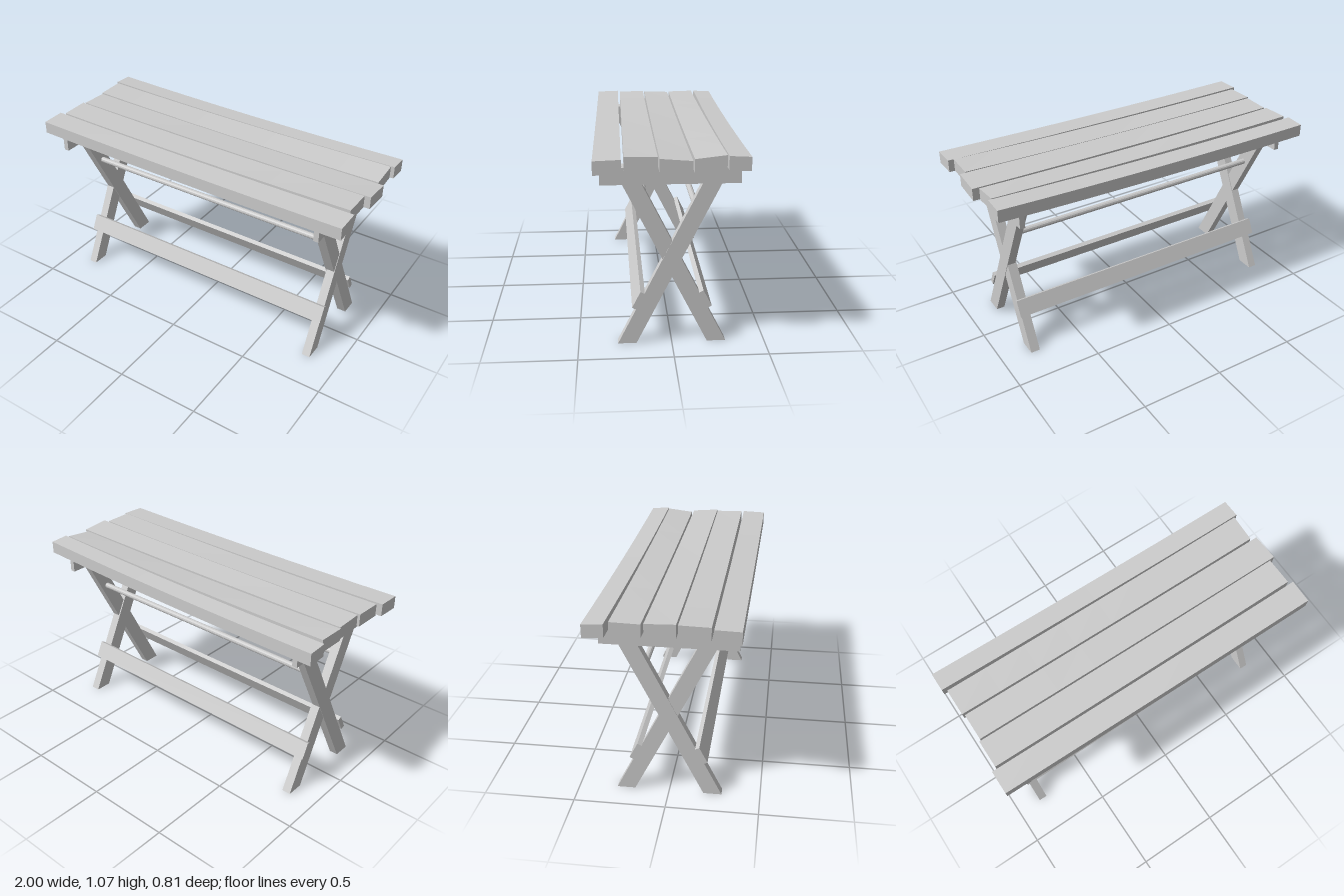
import * as THREE from 'three';

const material = new THREE.MeshStandardMaterial({ color: 0xcccccc, flatShading: true, side: THREE.DoubleSide });
const { lerp } = THREE.MathUtils;

function add(group, name, geometry) {
  const mesh = new THREE.Mesh(geometry, material);
  mesh.name = name;
  group.add(mesh);
  return mesh;
}

function box(group, name, x0, x1, y0, y1, z0, z1) {
  const mesh = add(group, name, new THREE.BoxGeometry(x1 - x0, y1 - y0, z1 - z0));
  mesh.position.set((x0 + x1) / 2, (y0 + y1) / 2, (z0 + z1) / 2);
  return mesh;
}

// Warped board: each end gives [x, back z, front z, back top y, front top y]
function plankGeometry(left, right, sag) {
  const thickness = 0.072;
  const geometry = new THREE.BoxGeometry(1, 1, 1, 8, 1, 1);
  const p = geometry.attributes.position;
  for (let i = 0; i < p.count; i++) {
    const t = p.getX(i) + 0.5;
    const s = p.getZ(i) + 0.5;
    const at = (k) => lerp(left[k], right[k], t);
    const top = lerp(at(3), at(4), s) - sag * 4 * t * (1 - t);
    p.setXYZ(i, at(0), p.getY(i) > 0 ? top : top - thickness, lerp(at(1), at(2), s));
  }
  geometry.computeVertexNormals();
  return geometry;
}

// Slanted leg cut level at floor and top, extruded between x0 and x1
function legGeometry(x0, x1, dir) {
  const height = 0.985, lean = 0.503 * height;
  const shape = new THREE.Shape([
    [0.29, 0], [0.19, 0], [0.19 - lean, height], [0.29 - lean, height],
  ].map(([z, y]) => new THREE.Vector2(z * dir, y)));
  const geometry = new THREE.ExtrudeGeometry(shape, { depth: x1 - x0, bevelEnabled: false });
  return geometry.rotateY(-Math.PI / 2).translate(x1, 0, 0);
}

export function createModel() {
  const model = new THREE.Group();
  model.name = 'slattedTable';

  // Irregular top slats, back to front
  const slats = [
    [[-0.995, -0.405, -0.293, 1.05, 1.056], [0.985, -0.377, -0.266, 1.062, 1.068], 0.012],
    [[-0.972, -0.272, -0.112, 1.06, 1.056], [0.965, -0.26, -0.1, 1.068, 1.05], 0.01],
    [[-0.962, -0.1, 0.062, 1.055, 1.06], [1.0, -0.088, 0.076, 1.05, 1.063], 0.006],
    [[-0.972, 0.072, 0.236, 1.062, 1.058], [0.967, 0.082, 0.248, 1.064, 1.067], 0.01],
    [[-1.0, 0.25, 0.387, 1.06, 1.056], [0.995, 0.262, 0.402, 1.06, 1.055], 0.008],
  ];
  const top = new THREE.Group();
  top.name = 'top';
  slats.forEach(([l, r, sag], i) => add(top, `slat${i + 1}`, plankGeometry(l, r, sag)));
  model.add(top);

  // Crossed legs and the cleats carrying the slats
  const ends = [
    { side: 'right', outer: [-0.85, -0.8], inner: [-0.827, -0.795], cleat: [-0.88, -0.85] },
    { side: 'left', outer: [0.78, 0.83], inner: [0.772, 0.805], cleat: [0.83, 0.86] },
  ];
  for (const { side, outer, inner, cleat } of ends) {
    const frame = new THREE.Group();
    frame.name = `${side}EndFrame`;
    add(frame, 'frontFootLeg', legGeometry(...outer, 1));
    add(frame, 'backFootLeg', legGeometry(side === 'left' ? inner[0] : outer[0] + 0.003,
      side === 'left' ? outer[1] - 0.003 : inner[1], -1));
    box(frame, 'cleat', ...cleat, 0.895, 0.985, -0.35, 0.37);
    model.add(frame);
  }

  // Stretcher boards on the legs and round rods between them
  for (const dir of [1, -1]) {
    const name = dir > 0 ? 'front' : 'back';
    const board = box(model, `${name}Stretcher`, -0.865, 0.84, 0.2, 0.3, -0.0135, 0.0135);
    board.position.z = 0.178 * dir;
    board.rotation.x = -dir * Math.atan(0.503);

    const rod = add(model, `${name}Rod`, new THREE.CylinderGeometry(0.017, 0.017, 1.6, 12));
    rod.rotation.z = Math.PI / 2;
    rod.position.set(-0.01, 0.735, 0.133 * dir);
  }
  return model;
}
